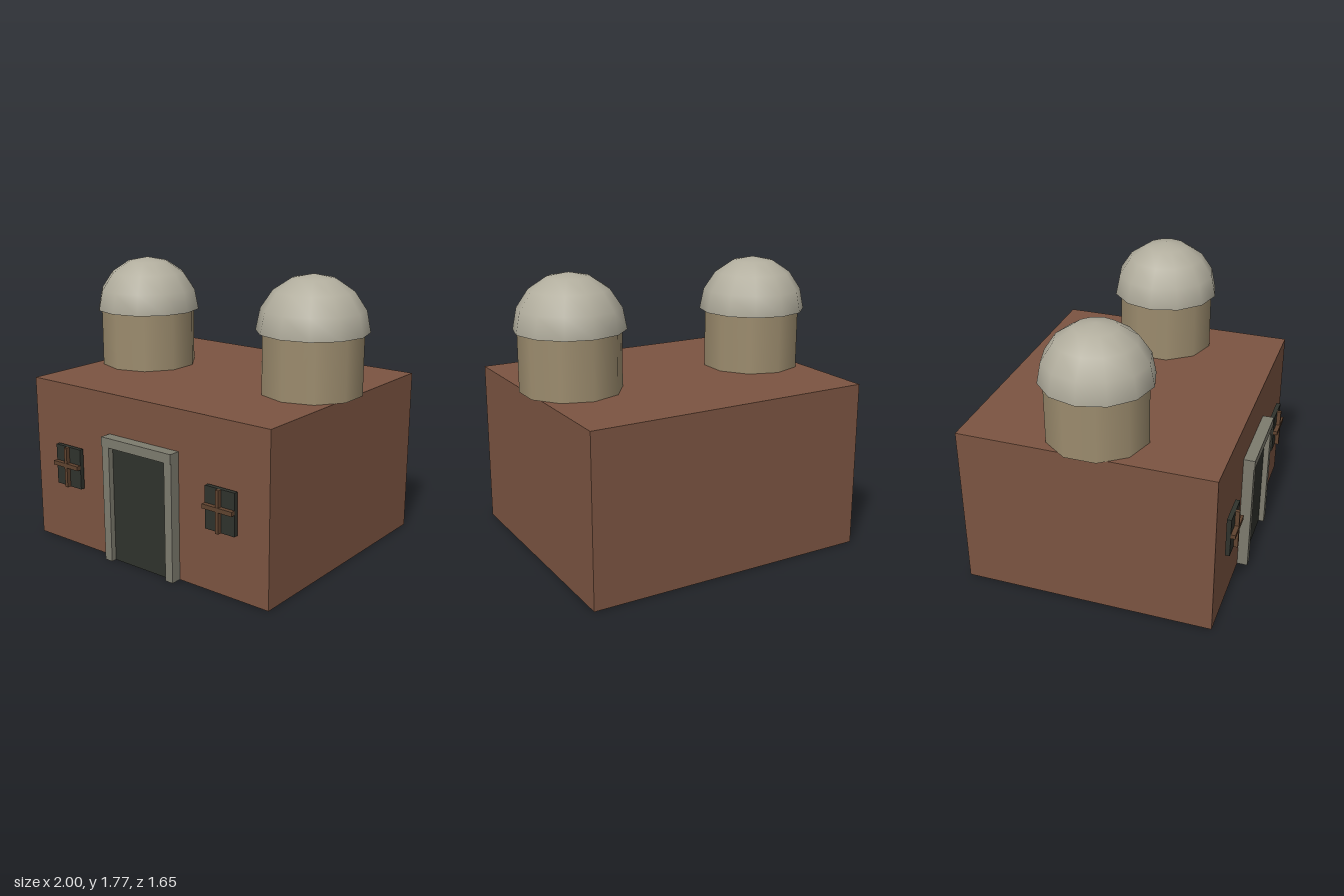
import * as THREE from 'three';

const paint = (color, side = THREE.FrontSide) => new THREE.MeshStandardMaterial({ color, side });

export function createModel() {
  const model = new THREE.Group();
  model.name = 'house';

  const brick = paint(0x7b5441);
  const sand = paint(0x9c8c6e);
  const domeGrey = paint(0xb2ae9e, THREE.DoubleSide);
  const stone = paint(0x7d7b6e);
  const dark = paint(0x2f322c);
  const wood = paint(0x5f432f);

  // Box given by its minimum and maximum corners
  function box(name, material, [x0, y0, z0], [x1, y1, z1], parent = model) {
    const mesh = new THREE.Mesh(new THREE.BoxGeometry(x1 - x0, y1 - y0, z1 - z0), material);
    mesh.position.set((x0 + x1) / 2, (y0 + y1) / 2, (z0 + z1) / 2);
    mesh.name = name;
    parent.add(mesh);
  }

  // Main block
  box('walls', brick, [-0.92, 0, -0.83], [0.92, 1.055, 0.753]);

  // Doorway: recessed door, two posts and a slightly prouder lintel
  box('door', dark, [-0.22, 0, 0.75], [0.22, 0.74, 0.785]);
  box('doorPostRight', stone, [-0.275, 0, 0.75], [-0.22, 0.74, 0.82]);
  box('doorPostLeft', stone, [0.22, 0, 0.75], [0.275, 0.74, 0.82]);
  box('lintel', stone, [-0.275, 0.74, 0.75], [0.275, 0.8, 0.825]);

  for (const side of [-1, 1]) {
    const label = side > 0 ? 'Left' : 'Right';

    // Window: dark pane with crossed glazing bars in front
    const window = new THREE.Group();
    window.name = 'window' + label;
    window.position.set(side * 0.605, 0.53, 0);
    box('pane', dark, [-0.105, -0.13, 0.764], [0.105, 0.13, 0.792], window);
    box('uprightBar', wood, [-0.011, -0.13, 0.792], [0.011, 0.13, 0.818], window);
    box('crossBar', wood, [-0.105, 0, 0.792], [0.105, 0.027, 0.82], window);
    model.add(window);

    // Roof tower: ten-sided drum under a hemispherical cap
    const tower = new THREE.Group();
    tower.name = 'tower' + label;
    tower.position.set(side * 0.657, 0, -0.036);
    const drum = new THREE.Mesh(new THREE.CylinderGeometry(0.315, 0.315, 0.378, 10), sand);
    drum.position.y = 1.243;
    drum.name = 'drum';
    const dome = new THREE.Mesh(
      new THREE.SphereGeometry(0.342, 12, 4, 0, Math.PI * 2, 0, Math.PI / 2), domeGrey);
    dome.position.y = 1.425;
    dome.name = 'dome';
    tower.add(drum, dome);
    model.add(tower);
  }

  return model;
}
